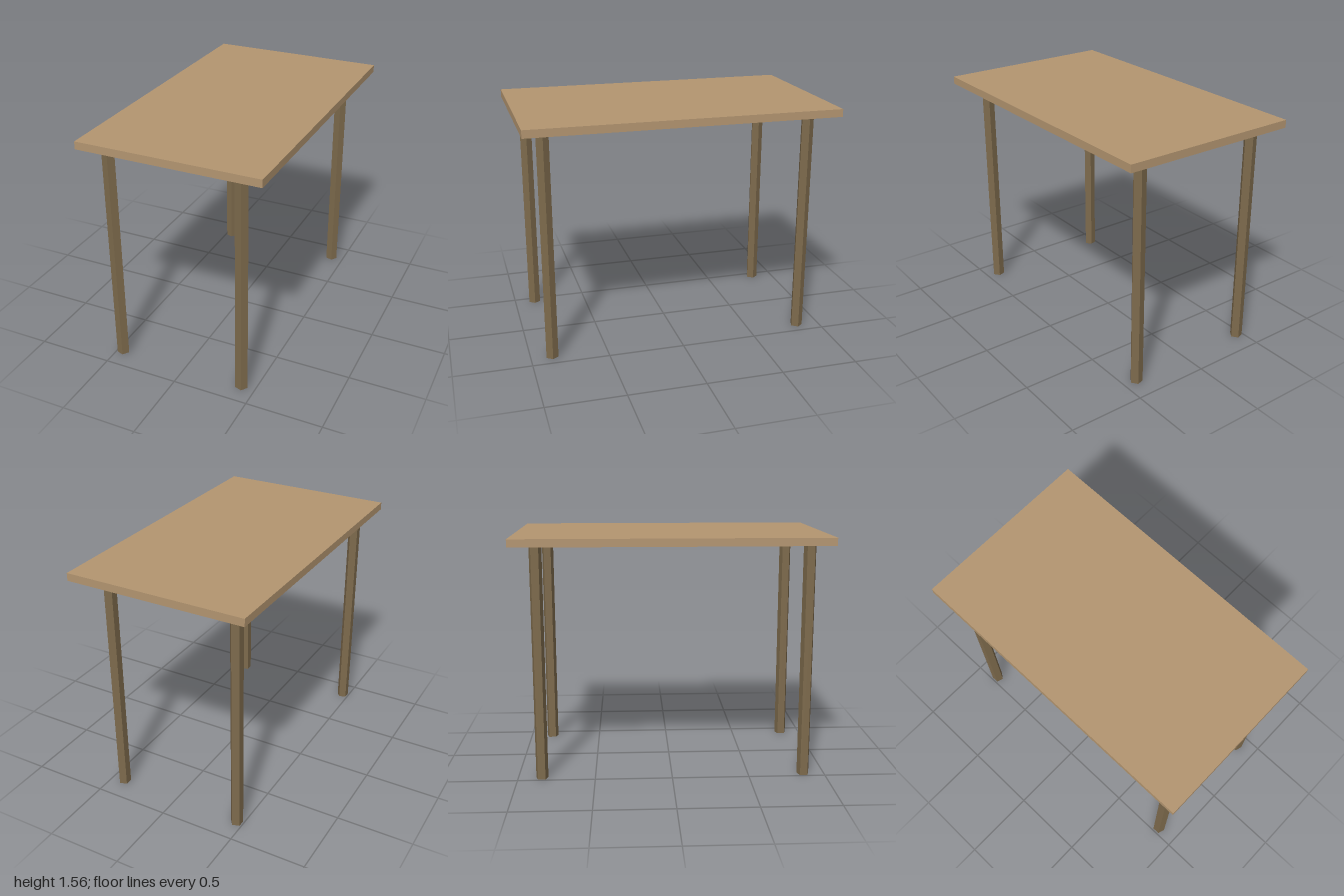
import * as THREE from 'three';

export function createModel() {
  const group = new THREE.Group();
  const topMaterial = new THREE.MeshStandardMaterial({ color: 0xb39570, flatShading: true });
  const legMaterial = new THREE.MeshStandardMaterial({ color: 0x7d6a4c, flatShading: true });

  // Flat rectangular slab
  const topHeight = 0.05, legHeight = 1.51;
  const tableTop = new THREE.Mesh(new THREE.BoxGeometry(1.184, topHeight, 2), topMaterial);
  tableTop.name = 'tableTop';
  tableTop.position.y = legHeight + topHeight / 2;
  group.add(tableTop);

  // Five-sided legs, each with a flat side towards -x
  const legGeometry = new THREE.CylinderGeometry(0.0415, 0.041, legHeight, 5, 1, false, Math.PI / 2);
  const legs = [
    ['frontLeftLeg', 0.409, 0.862],
    ['frontRightLeg', -0.456, 0.862],
    ['backLeftLeg', 0.409, -0.845],
    ['backRightLeg', -0.456, -0.845],
  ];
  for (const [name, x, z] of legs) {
    const leg = new THREE.Mesh(legGeometry, legMaterial);
    leg.name = name;
    leg.position.set(x, legHeight / 2, z);
    group.add(leg);
  }
  return group;
}
